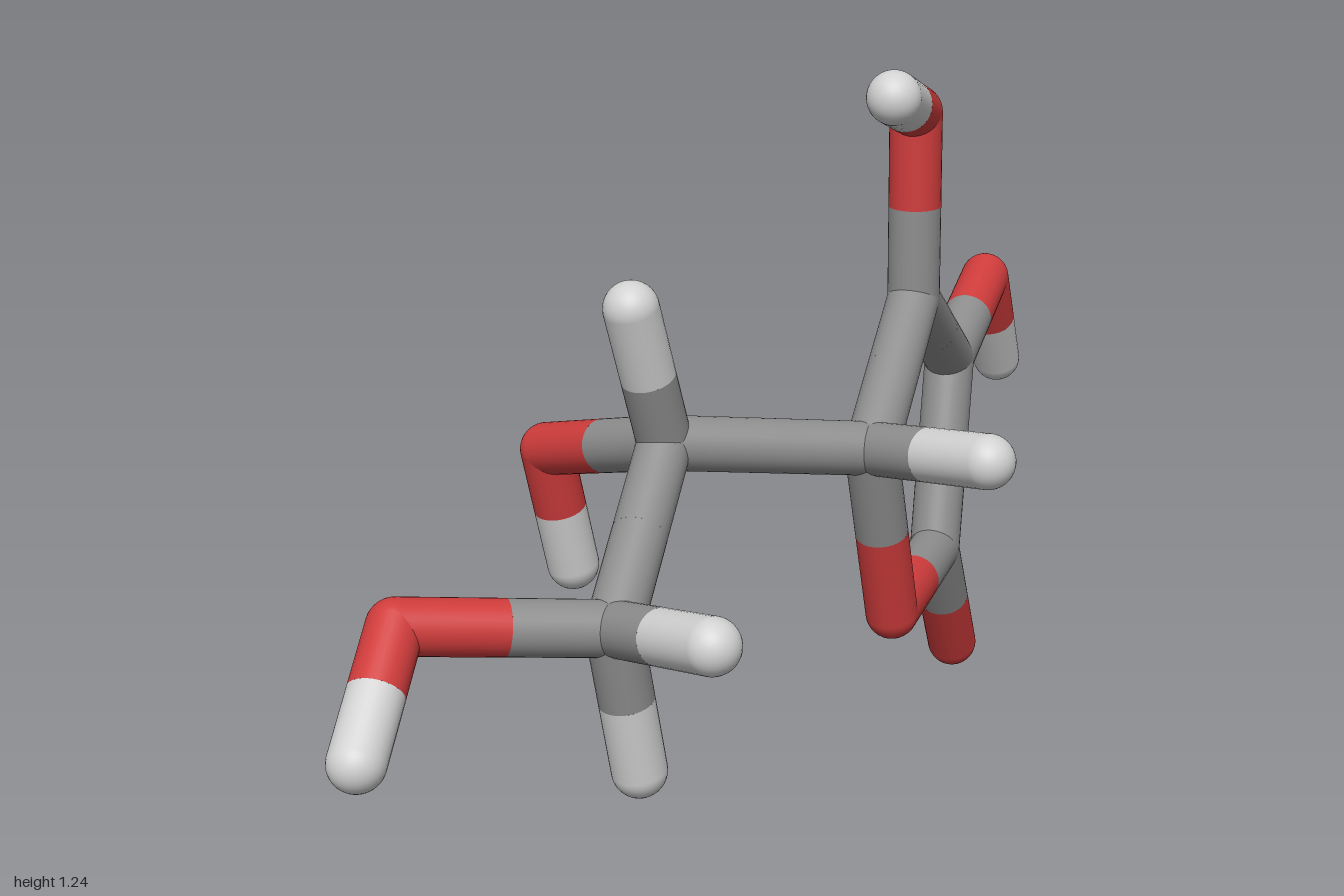
import * as THREE from 'three';

const RADIUS = 0.045;

// Atom centres: element, x, y, z
const ATOMS = {
  ringCarbonTop: ['C', 0.322, 0.80, 0.01],
  ringCarbonRight: ['C', 0.57, 0.615, -0.085],
  ringCarbonBottom: ['C', 0.455, 0.29, -0.03],
  ringOxygen: ['O', 0.145, 0.295, 0.10],
  ringCarbonLeft: ['C', 0.055, 0.62, 0.12],
  topOxygen: ['O', 0.322, 1.125, 0.01],
  topHydrogen: ['H', 0.125, 1.193, 0.107],
  rightOxygen: ['O', 0.845, 0.69, -0.197],
  rightHydrogen: ['H', 0.955, 0.495, -0.24],
  bottomOxygen: ['O', 0.595, 0.047, -0.085],
  ringHydrogen: ['H', 0.005, 0.667, 0.385],
  chainCarbonInner: ['C', -0.245, 0.67, -0.07],
  innerHydrogen: ['H', -0.328, 0.913, -0.063],
  innerOxygen: ['O', -0.19, 0.58, -0.382],
  innerHydroxylHydrogen: ['H', -0.132, 0.355, -0.382],
  chainCarbonOuter: ['C', -0.51, 0.465, 0.05],
  outerHydrogenFront: ['H', -0.58, 0.525, 0.305],
  outerHydrogenLow: ['H', -0.46, 0.21, 0.053],
  outerOxygen: ['O', -0.79, 0.512, -0.135],
  outerHydroxylHydrogen: ['H', -0.958, 0.375, -0.05 + 0.0],
};

const BONDS = [
  ['ringCarbonTop', 'ringCarbonRight'],
  ['ringCarbonRight', 'ringCarbonBottom'],
  ['ringCarbonBottom', 'ringOxygen'],
  ['ringOxygen', 'ringCarbonLeft'],
  ['ringCarbonLeft', 'ringCarbonTop'],
  ['ringCarbonTop', 'topOxygen'],
  ['topOxygen', 'topHydrogen'],
  ['ringCarbonRight', 'rightOxygen'],
  ['rightOxygen', 'rightHydrogen'],
  ['ringCarbonBottom', 'bottomOxygen'],
  ['ringCarbonLeft', 'ringHydrogen'],
  ['ringCarbonLeft', 'chainCarbonInner'],
  ['chainCarbonInner', 'innerHydrogen'],
  ['chainCarbonInner', 'innerOxygen'],
  ['innerOxygen', 'innerHydroxylHydrogen'],
  ['chainCarbonInner', 'chainCarbonOuter'],
  ['chainCarbonOuter', 'outerHydrogenFront'],
  ['chainCarbonOuter', 'outerHydrogenLow'],
  ['chainCarbonOuter', 'outerOxygen'],
  ['outerOxygen', 'outerHydroxylHydrogen'],
];

function flat(name, color) {
  const material = new THREE.MeshStandardMaterial({ color });
  material.name = name;
  return material;
}

export function createModel() {
  const model = new THREE.Group();
  model.name = 'stickMolecule';
  const materials = {
    C: flat('carbonGrey', 0x8e8e8e),
    O: flat('oxygenRed', 0xd03c3c),
    H: flat('hydrogenWhite', 0xd2d2d2),
  };
  const ball = new THREE.SphereGeometry(RADIUS, 32, 20);
  const up = new THREE.Vector3(0, 1, 0);
  const groups = {};
  const centre = (key) => new THREE.Vector3(...ATOMS[key].slice(1));

  // Rounded joint or tip at each atom
  for (const key of Object.keys(ATOMS)) {
    const group = new THREE.Group();
    group.name = key;
    group.position.copy(centre(key));
    const joint = new THREE.Mesh(ball, materials[ATOMS[key][0]]);
    joint.name = key + 'Joint';
    group.add(joint);
    groups[key] = group;
    model.add(group);
  }

  // Half of a stick, from an atom to the middle of its bond
  function addHalfStick(from, to) {
    const half = centre(to).sub(centre(from)).multiplyScalar(0.5);
    const length = half.length();
    const tube = new THREE.CylinderGeometry(RADIUS, RADIUS, length, 32, 1, true);
    const stick = new THREE.Mesh(tube, materials[ATOMS[from][0]]);
    stick.name = from + 'Stick';
    stick.position.copy(half).multiplyScalar(0.5);
    stick.quaternion.setFromUnitVectors(up, half.normalize());
    groups[from].add(stick);
  }

  for (const [a, b] of BONDS) {
    addHalfStick(a, b);
    addHalfStick(b, a);
  }
  return model;
}
